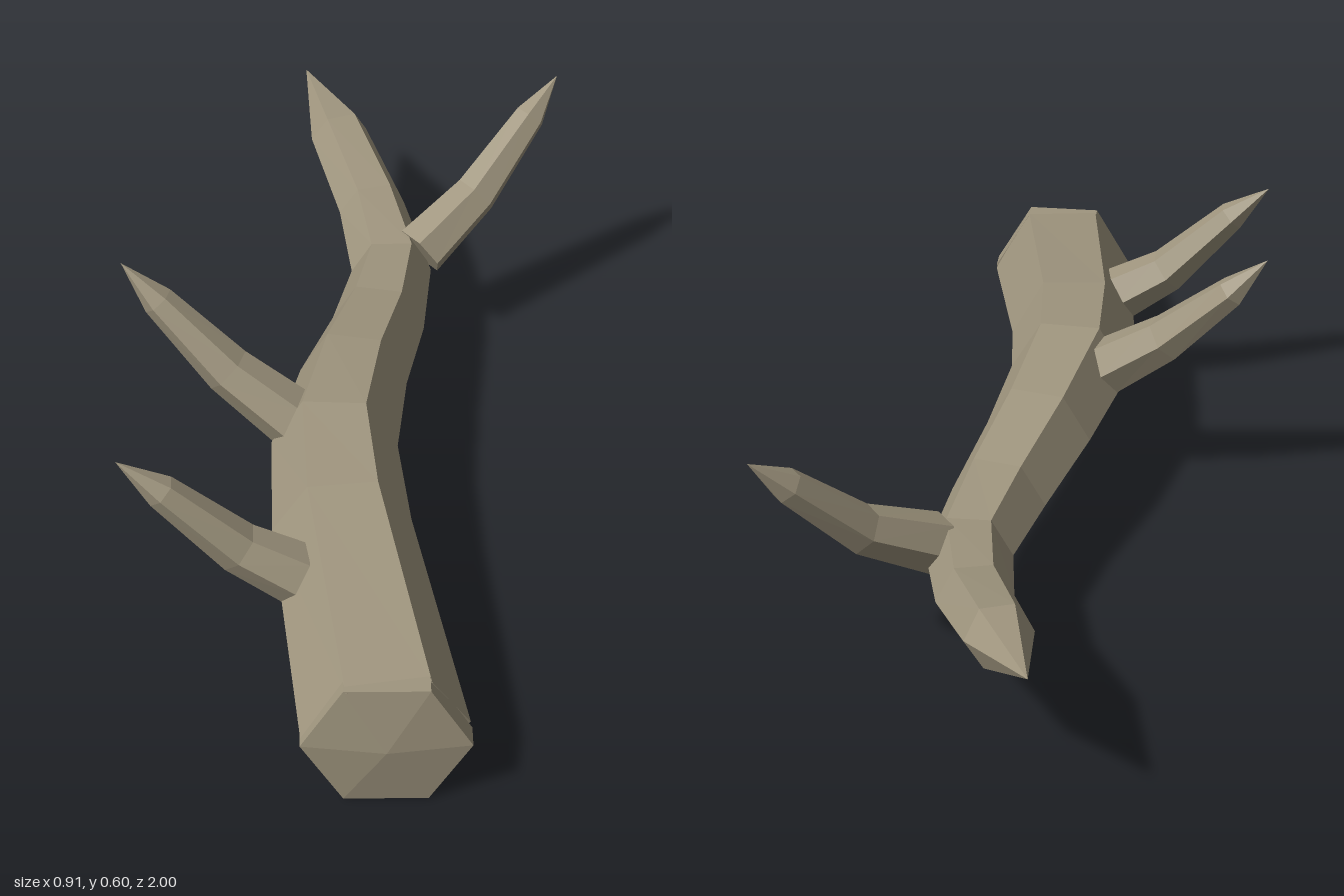
import * as THREE from 'three';

const SIDES = 6;

// Closed six-sided loft along [x, y, z, radius] stations, ending in a point.
function taperedLimb(stations) {
  const centres = stations.map(([x, y, z]) => new THREE.Vector3(x, y, z));
  const tip = centres[centres.length - 1];
  const up = new THREE.Vector3(0, 1, 0);
  const rings = [];
  for (let i = 0; i < centres.length - 1; i++) {
    // Each ring is square to the direction of the limb
    const ahead = centres[i + 1].clone().sub(centres[i]).normalize();
    if (i > 0) ahead.add(centres[i].clone().sub(centres[i - 1]).normalize()).normalize();
    const side = new THREE.Vector3().crossVectors(ahead, up).normalize();
    const top = new THREE.Vector3().crossVectors(side, ahead);
    const ring = [];
    for (let k = 0; k < SIDES; k++) {
      const a = (k / SIDES) * Math.PI * 2;
      ring.push(centres[i].clone()
        .addScaledVector(side, Math.cos(a) * stations[i][3])
        .addScaledVector(top, Math.sin(a) * stations[i][3]));
    }
    rings.push(ring);
  }
  const points = [];
  const last = rings[rings.length - 1];
  for (let k = 0; k < SIDES; k++) {
    const n = (k + 1) % SIDES;
    points.push(centres[0], rings[0][k], rings[0][n]);
    for (let i = 0; i < rings.length - 1; i++) {
      const a = rings[i][k], b = rings[i][n], c = rings[i + 1][n], d = rings[i + 1][k];
      points.push(a, d, c, a, c, b);
    }
    points.push(last[k], tip, last[n]);
  }
  const geometry = new THREE.BufferGeometry().setFromPoints(points);
  geometry.computeVertexNormals();
  return geometry;
}

export function createModel() {
  const group = new THREE.Group();
  const bark = new THREE.MeshStandardMaterial({ color: 0xa0967f, flatShading: true, side: THREE.DoubleSide });
  bark.name = 'bark';

  const add = (name, geometry) => {
    const mesh = new THREE.Mesh(geometry, bark);
    mesh.name = name;
    group.add(mesh);
    return mesh;
  };

  // Main winding branch, from the thick cut end to the tip
  add('mainBranch', taperedLimb([
    [0.05, 0.14, 0.945, 0.157],
    [-0.027, 0.225, 0.47, 0.136],
    [-0.04, 0.25, 0.255, 0.126],
    [0.0, 0.237, 0.02, 0.112],
    [0.055, 0.21, -0.2, 0.099],
    [0.0875, 0.205, -0.4, 0.087],
    [0.048, 0.237, -0.6, 0.075],
    [-0.025, 0.302, -0.805, 0.066],
    [-0.1, 0.355, -1.0, 0],
  ]));

  // Shallow slab closing the cut end, with a slightly raised middle
  const slab = new THREE.LatheGeometry(
    [[0, 0], [0.157, 0], [0.157, 0.045], [0, 0.065]].map(([r, y]) => new THREE.Vector2(r, y)), SIDES);
  slab.rotateY(Math.PI / 2).rotateX(Math.PI / 2);
  add('cutEnd', slab).position.set(0.05, 0.14, 0.935);

  // Curved side twigs
  add('frontRightTwig', taperedLimb([
    [-0.115, 0.245, 0.63, 0.061],
    [-0.22, 0.31, 0.63, 0.05],
    [-0.36, 0.452, 0.634, 0.033],
    [-0.44, 0.523, 0.635, 0],
  ]));
  add('middleRightTwig', taperedLimb([
    [-0.125, 0.29, 0.218, 0.062],
    [-0.25, 0.385, 0.185, 0.051],
    [-0.385, 0.525, 0.143, 0.033],
    [-0.455, 0.607, 0.13, 0],
  ]));
  add('rearLeftTwig', taperedLimb([
    [0.15, 0.24, -0.425, 0.062],
    [0.275, 0.325, -0.52, 0.05],
    [0.395, 0.47, -0.61, 0.035],
    [0.455, 0.543, -0.66, 0],
  ]));

  return group;
}
